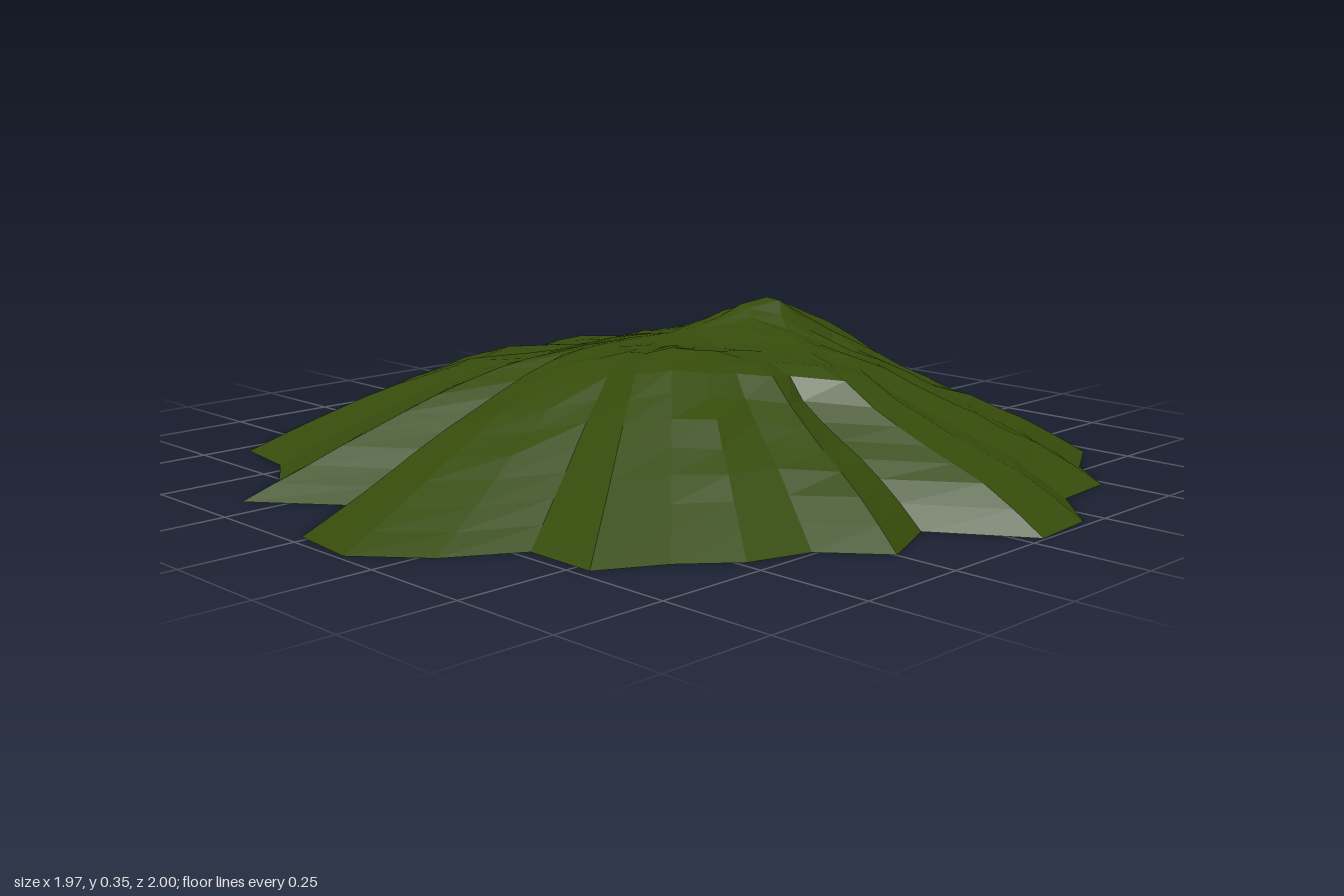
import * as THREE from 'three';

// Rim radius of each of the 40 rays, every 9 degrees from +x towards +z
const RIM = [
  0.81, 0.955, 0.863, 0.9, 0.88, 0.955, 0.925, 0.975, 0.925, 1.015,
  1.015, 0.83, 0.93, 0.855, 0.89, 0.89, 0.945, 0.855, 0.96, 1.04,
  1.01, 0.82, 1.0, 0.895, 0.89, 0.98, 0.955, 0.865, 0.925, 0.993,
  0.88, 0.96, 1.03, 0.885, 0.82, 0.84, 0.91, 0.91, 0.98, 0.85,
];

// Slope profiles every 45 degrees: heights from the centre out to the rim
const SLOPES = [
  [0.28, 0.295, 0.31, 0.3, 0.262, 0.195, 0.12, 0.06, 0],
  [0.28, 0.29, 0.3, 0.25, 0.22, 0.165, 0.12, 0.07, 0],
  [0.28, 0.275, 0.27, 0.268, 0.24, 0.165, 0.125, 0.075, 0],
  [0.28, 0.27, 0.285, 0.3, 0.28, 0.21, 0.14, 0.07, 0],
  [0.28, 0.28, 0.278, 0.262, 0.215, 0.165, 0.11, 0.052, 0],
  [0.28, 0.27, 0.24, 0.22, 0.205, 0.165, 0.115, 0.06, 0],
  [0.28, 0.265, 0.225, 0.212, 0.195, 0.155, 0.113, 0.06, 0],
  [0.28, 0.275, 0.245, 0.22, 0.195, 0.155, 0.11, 0.06, 0],
];

const RAYS = RIM.length;
const RINGS = 14;
const CENTRE = { x: 0.04, z: -0.02 };

function seededRandom(seed) {
  return () => {
    seed = (seed * 16807) % 2147483647;
    return seed / 2147483647;
  };
}

// Height along one profile, t = 0 at the centre and 1 at the rim
function profileHeight(profile, t) {
  const f = t * (profile.length - 1);
  const i = Math.min(Math.floor(f), profile.length - 2);
  return THREE.MathUtils.lerp(profile[i], profile[i + 1], f - i);
}

function hillHeight(ray, t) {
  const f = (ray / RAYS) * SLOPES.length;
  const i = Math.floor(f);
  const blend = THREE.MathUtils.smoothstep(f - i, 0, 1);
  const h = THREE.MathUtils.lerp(
    profileHeight(SLOPES[i], t),
    profileHeight(SLOPES[(i + 1) % SLOPES.length], t), blend);
  // Summit knob, in front and to the left of the centre
  return h + 0.05 * Math.exp(-(((ray - 2.4) / 1.8) ** 2) - (((t - 0.29) / 0.12) ** 2));
}

function hillGeometry() {
  const random = seededRandom(71);
  const positions = [CENTRE.x, SLOPES[0][0], CENTRE.z];
  const index = [];

  // Concentric star-shaped rings, roughest on the front slopes
  for (let ring = 1; ring <= RINGS; ring++) {
    for (let ray = 0; ray < RAYS; ray++) {
      const angle = (ray / RAYS) * Math.PI * 2;
      const t = ring / RINGS;
      const rough = Math.sin(Math.PI * t) * (ray > 2 && ray < 16 ? 1 : 0.4);
      const r = RIM[ray] * (t + (random() - 0.5) * 0.025 * rough);
      const y = hillHeight(ray, t) + (random() - 0.5) * 0.012 * rough;
      positions.push(
        CENTRE.x + r * Math.cos(angle),
        ring === RINGS ? 0 : y,
        CENTRE.z + r * Math.sin(angle));
    }
  }

  // Central fan, then quads between neighbouring rings
  const at = (ring, ray) => 1 + (ring - 1) * RAYS + (ray % RAYS);
  for (let ray = 0; ray < RAYS; ray++) {
    index.push(0, at(1, ray + 1), at(1, ray));
    for (let ring = 1; ring < RINGS; ring++) {
      const a = at(ring, ray), b = at(ring, ray + 1);
      const c = at(ring + 1, ray + 1), d = at(ring + 1, ray);
      index.push(a, b, c, a, c, d);
    }
  }

  const geometry = new THREE.BufferGeometry();
  geometry.setAttribute('position', new THREE.Float32BufferAttribute(positions, 3));
  geometry.setIndex(index);
  geometry.computeVertexNormals();
  return geometry;
}

export function createModel() {
  // Open shell, visible from above and below
  const grass = new THREE.MeshStandardMaterial({
    color: 0x354b0b, flatShading: true, side: THREE.DoubleSide,
  });
  grass.name = 'grass green';

  const hill = new THREE.Mesh(hillGeometry(), grass);
  hill.name = 'hill';

  const model = new THREE.Group();
  model.name = 'grassy hill';
  model.add(hill);
  return model;
}
